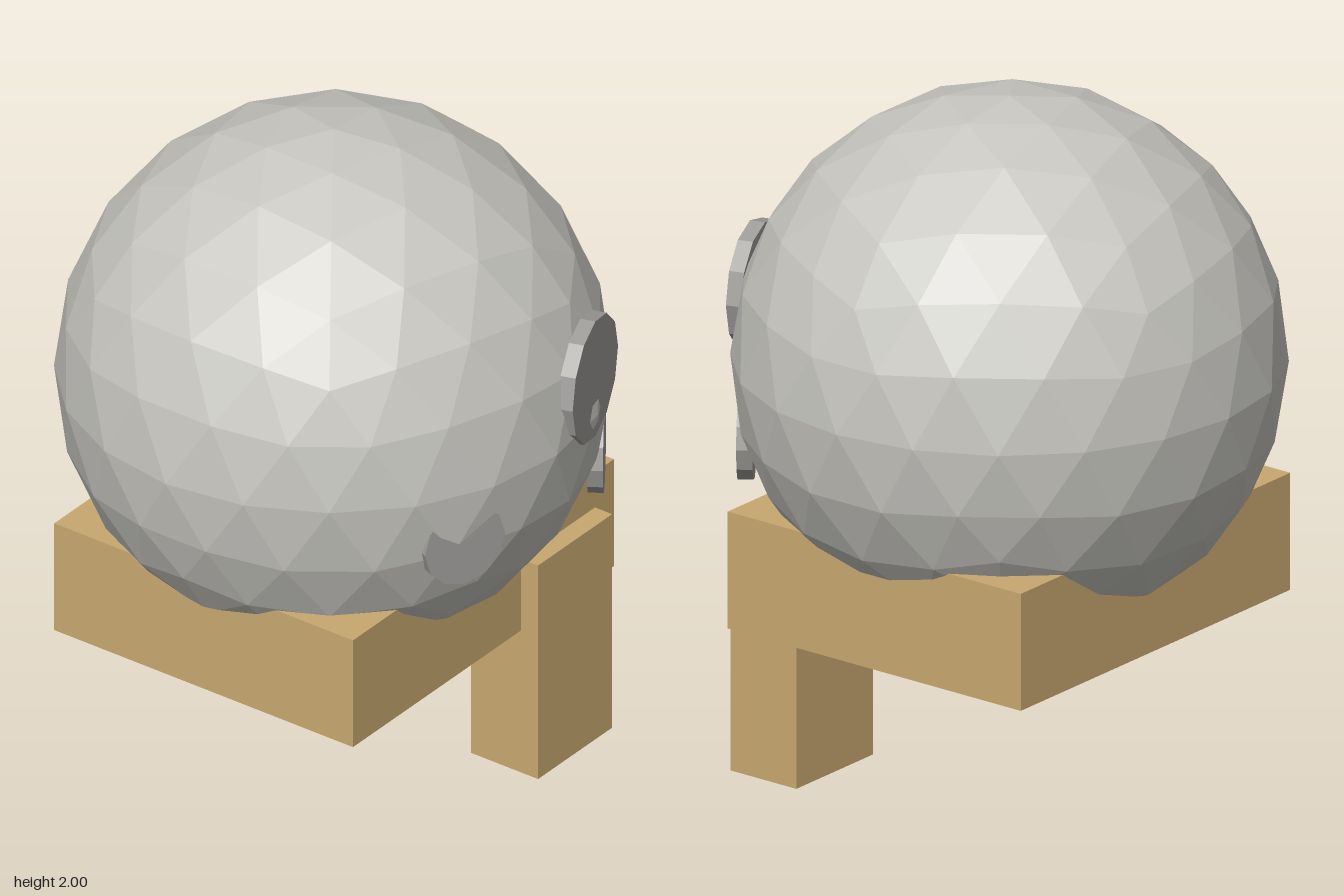
import * as THREE from 'three';

const material = (name, color) => {
  const m = new THREE.MeshStandardMaterial({ color, flatShading: true });
  m.name = name;
  return m;
};

// Icosahedron standing on a vertex, its edges split into four and pushed onto a sphere
function icosphere(radius) {
  const points = [0, -1, 0];
  const faces = [];
  const ring = (y, start) => {
    for (let i = 0; i < 5; i++) {
      const a = start + (i * Math.PI * 2) / 5;
      points.push(Math.cos(a) * 0.8944, y, -Math.sin(a) * 0.8944);
    }
  };
  ring(-0.4472, Math.PI / 5);
  ring(0.4472, 0);
  points.push(0, 1, 0);
  for (let i = 0; i < 5; i++) {
    const j = (i + 1) % 5;
    const low = 1 + i, lowNext = 1 + j, high = 6 + i, highNext = 6 + j;
    faces.push(0, lowNext, low, high, low, highNext, low, lowNext, highNext, 11, high, highNext);
  }
  return new THREE.PolyhedronGeometry(points, faces, radius, 3);
}

export function createModel() {
  const model = new THREE.Group();
  model.name = 'ballOnStand';
  const stone = material('pale grey', 0xc6c5bf);
  const plate = material('mid grey', 0x9e9c99);
  const wood = material('light wood', 0xc8a870);

  const add = (name, geometry, mat, x, y, z) => {
    const mesh = new THREE.Mesh(geometry, mat);
    mesh.name = name;
    mesh.position.set(x, y, z);
    model.add(mesh);
    return mesh;
  };

  // Large faceted ball
  add('ball', icosphere(0.782), stone, 0, 1.22, -0.005);

  // Block around the underside of the ball, and the single front leg
  add('block', new THREE.BoxGeometry(1.215, 0.35, 1.045), wood, 0, 0.64, -0.003);
  add('leg', new THREE.BoxGeometry(0.345, 0.7, 0.235), wood, 0.347, 0.35, 0.462);

  // Upright discs set into the ball: centre of the outer face, radius, turn about y
  const discs = [
    ['largeDisc', 0.237, 1.338, 0.733, 0.188, 0.3],
    ['rightDisc', -0.31, 1.045, 0.688, 0.128, -0.42],
    ['leftDisc', 0.437, 0.973, 0.615, 0.128, 0.61],
  ];
  const depth = 0.045;
  for (const [name, x, y, z, radius, turn] of discs) {
    const geometry = new THREE.CylinderGeometry(radius, radius, depth, 12)
      .rotateX(Math.PI / 2)
      .translate(0, 0, -depth / 2);
    add(name, geometry, plate, x, y, z).rotation.y = turn;
  }
  return model;
}
